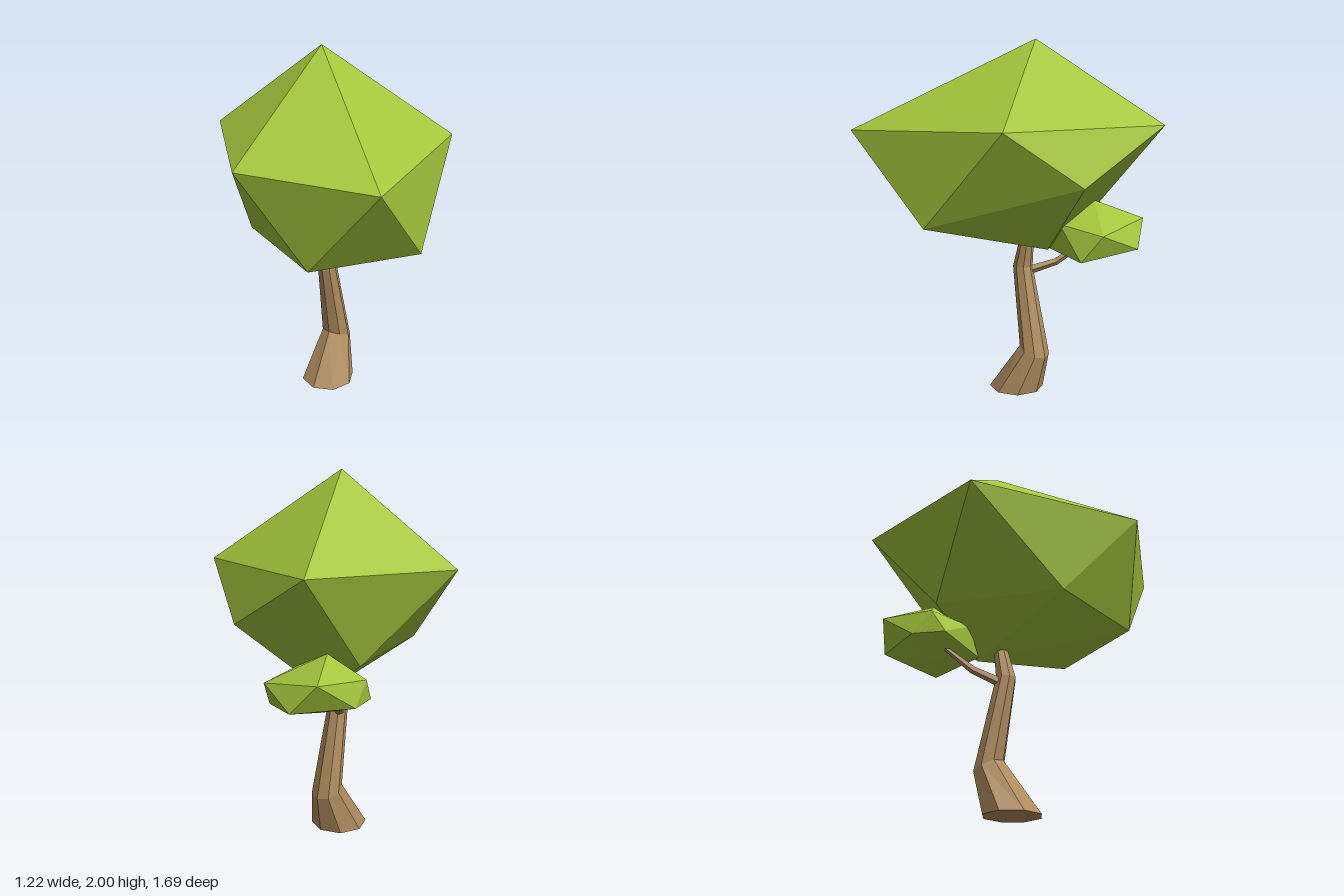
import * as THREE from 'three';

const leafMat = new THREE.MeshStandardMaterial({ color: 0xa4c63c, flatShading: true });
const barkMat = new THREE.MeshStandardMaterial({ color: 0xb08d5f, flatShading: true });

function buildMesh(name, points, faces, material) {
  const geo = new THREE.BufferGeometry();
  geo.setAttribute('position', new THREE.Float32BufferAttribute(points.flat(), 3));
  geo.setIndex(faces.flat());
  const flat = geo.toNonIndexed();
  flat.computeVertexNormals();
  const mesh = new THREE.Mesh(flat, material);
  mesh.name = name;
  return mesh;
}

// Distorted icosahedron: a top, five upper corners, five lower corners between them, a bottom
function foliage(name, top, upper, lower, bottom) {
  const faces = [];
  for (let i = 0; i < 5; i++) {
    const j = (i + 1) % 5;
    const u = 1 + i, u2 = 1 + j, l = 6 + i, l2 = 6 + j;
    faces.push([0, u, u2], [u, l, u2], [l, l2, u2], [11, l2, l]);
  }
  return buildMesh(name, [top, ...upper, ...lower, bottom], faces, leafMat);
}

// Faceted limb lofted through tilted rings of { c: centre, r: radius, n: normal }
function limb(name, rings, sides) {
  const points = [], faces = [];
  const up = new THREE.Vector3(0, 1, 0);
  for (const { c, r, n = [0, 1, 0] } of rings) {
    const q = new THREE.Quaternion().setFromUnitVectors(up, new THREE.Vector3(...n).normalize());
    for (let i = 0; i < sides; i++) {
      const a = (i / sides) * Math.PI * 2;
      const p = new THREE.Vector3(Math.cos(a) * r, 0, Math.sin(a) * r).applyQuaternion(q);
      points.push([p.x + c[0], p.y + c[1], p.z + c[2]]);
    }
  }
  const last = (rings.length - 1) * sides;
  const base = points.push(rings[0].c) - 1;
  const tip = points.push(rings[rings.length - 1].c) - 1;
  for (let i = 0; i < sides; i++) {
    const j = (i + 1) % sides;
    for (let k = 0; k < last; k += sides) {
      faces.push([k + i, k + sides + i, k + sides + j], [k + i, k + sides + j, k + j]);
    }
    faces.push([base, i, j], [tip, last + j, last + i]);
  }
  return buildMesh(name, points, faces, barkMat);
}

export function createModel() {
  const tree = new THREE.Group();
  tree.name = 'tree';

  // Bent trunk with a flared foot
  tree.add(limb('trunk', [
    { c: [-0.07, 0, -0.07], r: 0.157 },
    { c: [0.005, 0.25, -0.17], r: 0.088, n: [0.3, 1, -0.3] },
    { c: [-0.06, 0.73, -0.105], r: 0.056 },
    { c: [-0.035, 0.89, -0.125], r: 0.041 },
  ], 8));

  // Side branch reaching back into the small foliage
  tree.add(limb('branch', [
    { c: [-0.06, 0.695, -0.11], r: 0.028, n: [0, 0.3, -1] },
    { c: [-0.06, 0.753, -0.295], r: 0.021, n: [0, 0.5, -1] },
    { c: [-0.05, 0.86, -0.45], r: 0.012, n: [0, 0.7, -1] },
  ], 5));

  // Main crown
  tree.add(foliage('crown', [-0.07, 2, -0.17],
    [[-0.61, 1.53, -0.51], [-0.61, 1.53, 0.44], [0, 1.51, 0.84], [0.61, 1.53, 0.03], [0.14, 1.54, -0.85]],
    [[-0.5, 1.08, 0.04], [-0.28, 1.03, 0.54], [0.33, 1.02, 0.43], [0.48, 1.245, -0.38], [-0.14, 1.06, -0.53]],
    [0.02, 0.84, -0.24]));

  // Small foliage clump on the branch
  tree.add(foliage('smallFoliage', [0.02, 1.12, -0.5],
    [[-0.17, 1, -0.56], [-0.1, 0.98, -0.33], [0.15, 1.01, -0.29], [0.335, 0.975, -0.5], [0.08, 1.03, -0.76]],
    [[-0.2, 0.88, -0.49], [-0.03, 0.84, -0.25], [0.31, 0.83, -0.39], [0.21, 0.88, -0.71], [-0.11, 0.88, -0.64]],
    [0.05, 0.825, -0.53]));

  return tree;
}
